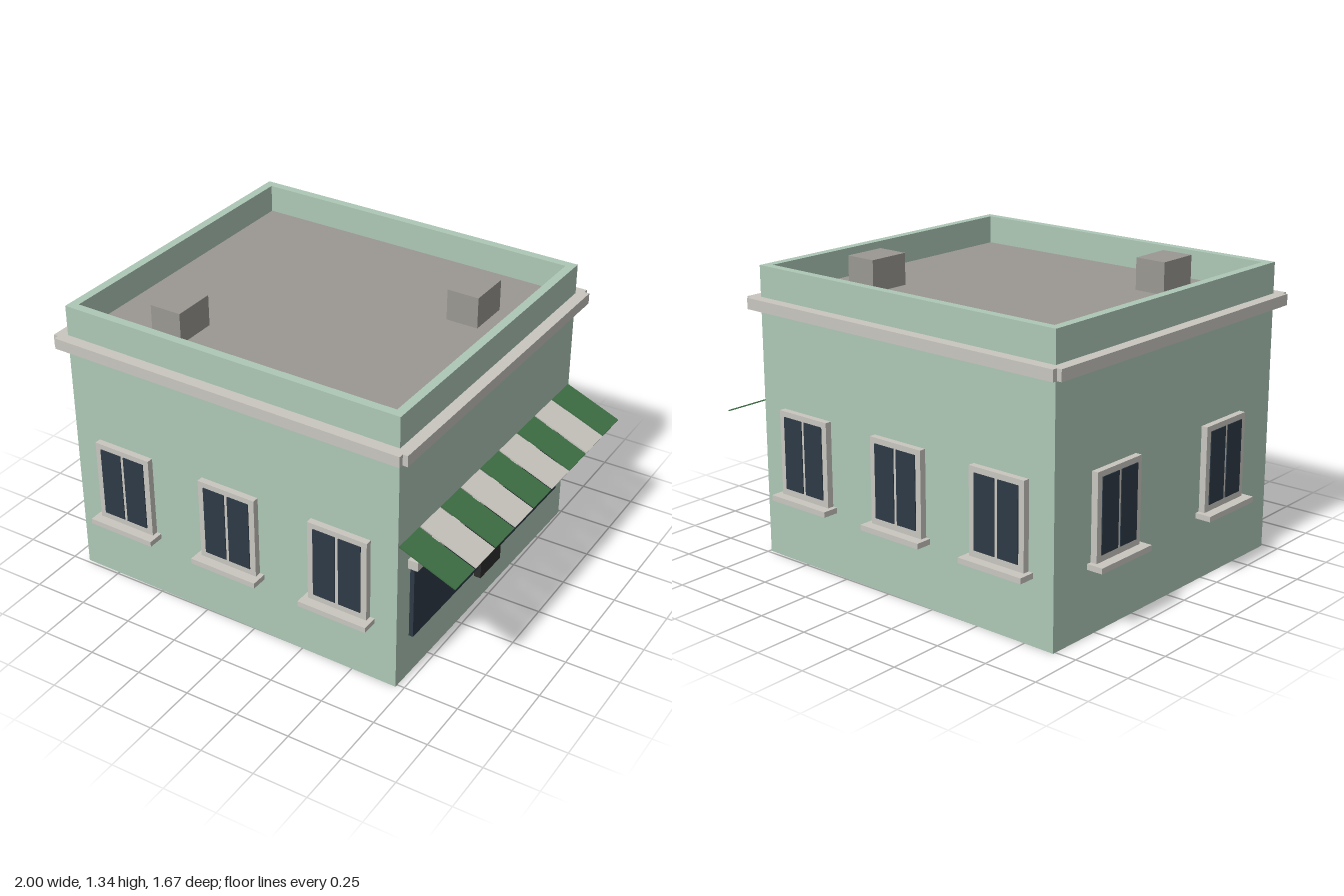
import * as THREE from 'three';

const W = 1.64, D = 1.5, ROOF = 1.19, TOP = 1.32;

function material(name, color, side = THREE.FrontSide) {
  const m = new THREE.MeshStandardMaterial({ color, side });
  m.name = name;
  return m;
}

export function createModel() {
  const wallGreen = material('wallGreen', 0xadc7b6, THREE.DoubleSide);
  const trimStone = material('trimStone', 0xc9c6bf);
  const roofGrey = material('roofGrey', 0x9b9892, THREE.DoubleSide);
  const glassBlue = material('glassBlue', 0x2d3a46);
  const doorBlack = material('doorBlack', 0x2c2c2c);
  const awningGreen = material('awningGreen', 0x3d6f43);

  const model = new THREE.Group();
  model.name = 'cornerShop';

  // Box given by its limits on each axis
  function box(parent, name, mat, [x0, x1], [y0, y1], [z0, z1]) {
    const mesh = new THREE.Mesh(new THREE.BoxGeometry(x1 - x0, y1 - y0, z1 - z0), mat);
    mesh.position.set((x0 + x1) / 2, (y0 + y1) / 2, (z0 + z1) / 2);
    mesh.name = name;
    parent.add(mesh);
    return mesh;
  }

  function rectangle(path, x0, x1, y0, y1) {
    path.moveTo(x0, y0);
    path.lineTo(x1, y0);
    path.lineTo(x1, y1);
    path.lineTo(x0, y1);
    path.closePath();
    return path;
  }

  // Building turns one degree on its plot
  const building = new THREE.Group();
  building.name = 'building';
  building.position.x = -0.0915;
  building.rotation.y = -Math.PI / 180;
  model.add(building);

  // Each facade is a group whose local +z points outwards
  function facade(name, width, distance, angle) {
    const g = new THREE.Group();
    g.name = name;
    g.rotation.y = angle;
    g.position.set(Math.sin(angle) * distance, 0, Math.cos(angle) * distance);
    const wall = new THREE.Mesh(new THREE.PlaneGeometry(width, ROOF), wallGreen);
    wall.position.y = ROOF / 2;
    wall.name = name + 'Wall';
    g.add(wall);
    // Cornice strip
    const h = width / 2 + 0.03;
    box(g, 'cornice', trimStone, [-h, h], [1.13, 1.18], [0, 0.053]);
    building.add(g);
    return g;
  }
  const front = facade('front', W, D / 2, 0);
  const back = facade('back', W, D / 2, Math.PI);
  const left = facade('leftSide', D, W / 2, -Math.PI / 2);
  const shop = facade('shopSide', D, W / 2, Math.PI / 2);

  // Parapet ring and roof deck
  const ring = rectangle(new THREE.Shape(), -W / 2, W / 2, -D / 2, D / 2);
  ring.holes.push(rectangle(new THREE.Path(), -W / 2 + 0.04, W / 2 - 0.04, -D / 2 + 0.04, D / 2 - 0.04));
  const parapet = new THREE.Mesh(
    new THREE.ExtrudeGeometry(ring, { depth: TOP - ROOF, bevelEnabled: false }), wallGreen);
  parapet.rotation.x = -Math.PI / 2;
  parapet.position.y = ROOF;
  parapet.name = 'parapet';
  building.add(parapet);

  const deck = new THREE.Mesh(new THREE.PlaneGeometry(W - 0.08, D - 0.08), roofGrey);
  deck.rotation.x = -Math.PI / 2;
  deck.position.y = ROOF + 0.001;
  deck.name = 'roofDeck';
  building.add(deck);

  // Rooftop units
  for (const [x, z] of [[0.545, -0.315], [-0.43, 0.473]]) {
    box(building, 'rooftopUnit', roofGrey,
      [x - 0.075, x + 0.075], [ROOF, 1.335], [z - 0.1, z + 0.1]);
  }

  // Two-pane windows with frame and sill
  const frameShape = rectangle(new THREE.Shape(), -0.143, 0.143, 0.31, 0.7);
  for (const s of [-1, 1]) {
    const a = s * 0.008, b = s * 0.115;
    frameShape.holes.push(rectangle(new THREE.Path(), Math.min(a, b), Math.max(a, b), 0.345, 0.675));
  }

  function addWindow(parent, x, inset) {
    const g = new THREE.Group();
    g.name = 'window';
    g.position.x = x;
    const frame = new THREE.Mesh(
      new THREE.ExtrudeGeometry(frameShape, { depth: 0.03 + inset, bevelEnabled: false }), trimStone);
    frame.position.z = -inset;
    frame.name = 'windowFrame';
    g.add(frame);
    for (const s of [-1, 1]) {
      const c = s * 0.0615;
      box(g, 'windowPane', glassBlue, [c - 0.0535, c + 0.0535], [0.345, 0.675], [-inset, 0.034]);
    }
    box(g, 'windowSill', trimStone, [-0.165, 0.165], [0.29, 0.315], [-0.005, 0.075]);
    parent.add(g);
  }
  for (const x of [-0.55, 0, 0.55]) {
    addWindow(front, x, 0);
    addWindow(back, x, 0);
  }
  for (const x of [-0.375, 0.375]) addWindow(left, x, 0.003);

  // Shopfront
  box(shop, 'shopGlass', glassBlue, [-0.65, 0.65], [0.205, 0.565], [0, 0.02]);
  box(shop, 'shopDoor', doorBlack, [-0.09, 0.09], [0.155, 0.565], [0, 0.032]);
  box(shop, 'shopLintel', trimStone, [-0.67, 0.67], [0.563, 0.605], [0, 0.046]);

  // Sloping striped awning
  const awning = new THREE.Group();
  awning.name = 'awning';
  awning.position.y = 0.714;
  awning.rotation.x = Math.atan2(0.105, 0.26);
  shop.add(awning);
  for (let i = 0; i < 9; i++) {
    const x = (i - 4) * 0.1665;
    box(awning, 'awningStripe', i % 2 ? trimStone : awningGreen,
      [x - 0.078, x + 0.078], [-0.003, 0.003], [0, 0.28]);
  }

  return model;
}
